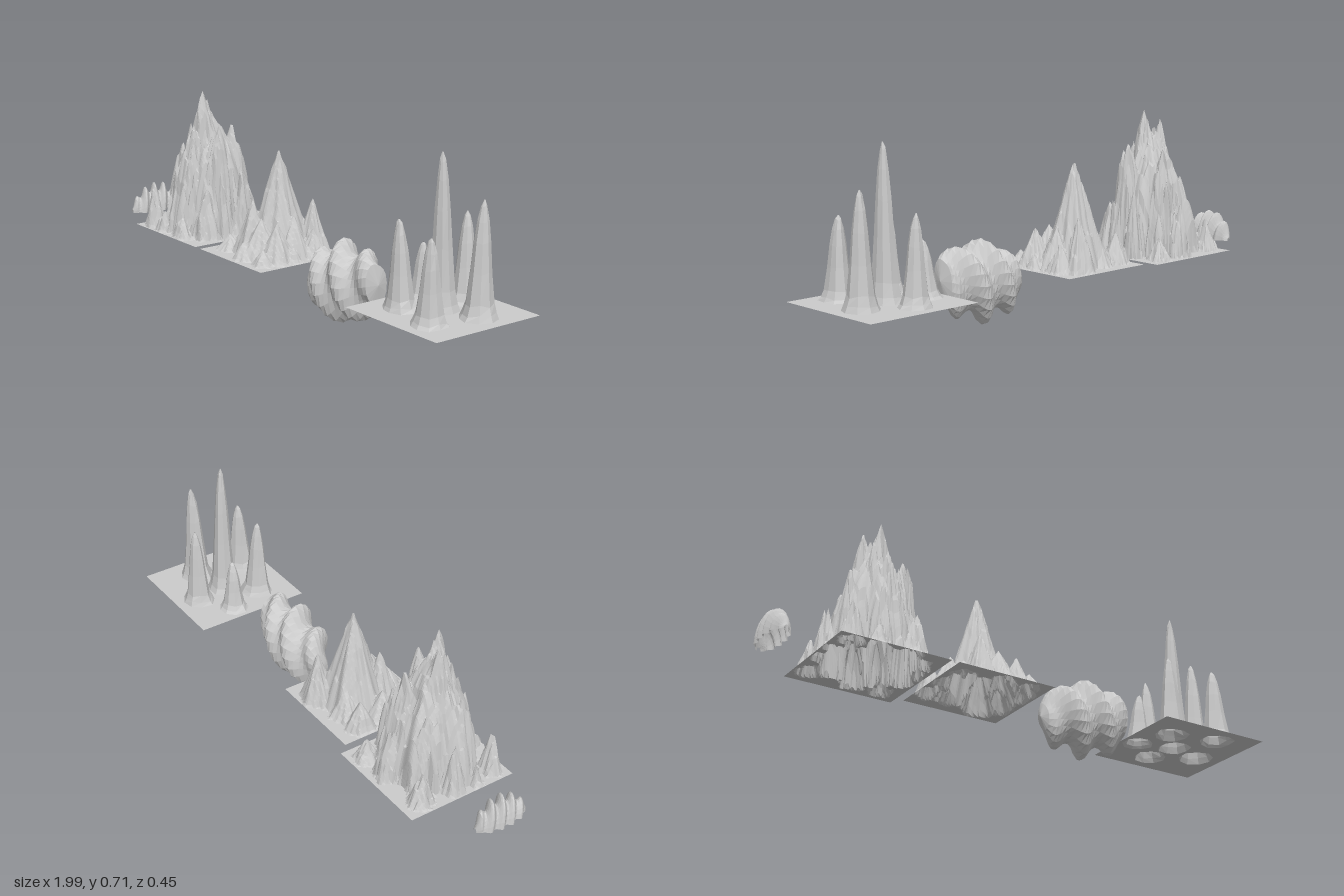
import * as THREE from 'three';
import { ParametricGeometry } from 'three/addons/geometries/ParametricGeometry.js';

const GROUND = 0.16;
const rock = new THREE.MeshStandardMaterial({ color: 0xcccccc, flatShading: true, side: THREE.DoubleSide });

// Repeatable pseudo-random value in 0..1
const hash = (a, b = 0) => {
  const s = Math.sin(a * 127.1 + b * 311.7 + 5.3) * 43758.5453;
  return s - Math.floor(s);
};

// Linear interpolation through [position, value...] rows
function sample(rows, t, column) {
  for (let i = 1; i < rows.length; i++) {
    const a = rows[i - 1], b = rows[i];
    if (t <= b[0]) return THREE.MathUtils.lerp(a[column], b[column], Math.max(0, (t - a[0]) / (b[0] - a[0])));
  }
  return rows[rows.length - 1][column];
}

function surface(name, fn, slices, stacks) {
  const mesh = new THREE.Mesh(new ParametricGeometry(fn, slices, stacks), rock);
  mesh.name = name;
  return mesh;
}

// Ground sheet pulled up into fluted spires: [x, z, top, radius, sharpness]
// blocky shifts the rock in square cells for a stepped, broken face
function spireField(name, [x0, x1, z0, z1], spires, cells, blocky) {
  return surface(name, (u, v, target) => {
    const x = x0 + u * (x1 - x0), z = z0 + v * (z1 - z0);
    const cx = Math.floor(x / 0.026), cz = Math.floor(z / 0.026);
    const wx = x + blocky * (hash(cx, cz) - 0.5), wz = z + blocky * (hash(cz, cx + 40) - 0.5);
    let h = 0;
    spires.forEach(([sx, sz, top, radius, power], i) => {
      const dx = wx - sx, dz = wz - sz, a = Math.atan2(dz, dx);
      const flute = 1 + 0.08 * Math.sin(5 * a + i * 2.1) + 0.05 * Math.sin(11 * a + i);
      const t = Math.hypot(dx, dz) / (radius * flute);
      if (t < 1) h = Math.max(h, (top - GROUND) * Math.pow(1 - t, power));
    });
    const edge = Math.min(x - x0, x1 - x, z - z0, z1 - z);
    target.set(x, GROUND + h * Math.min(1, edge / 0.02), z);
  }, cells, cells);
}

// Separate stone pillars standing over holes in a flat sheet
function pillarGroup() {
  const group = new THREE.Group();
  group.name = 'pillarCluster';
  const sides = 9;
  const profile = [[0, 1], [0.05, 0.86], [0.13, 0.72], [0.4, 0.55], [0.65, 0.43], [0.83, 0.3], [0.95, 0.16], [1, 0.03]];
  const pillars = [
    [0.755, -0.01, 0.70, 0.066], [0.89, -0.05, 0.56, 0.074], [0.665, 0.09, 0.47, 0.068],
    [0.85, 0.13, 0.45, 0.068], [0.615, -0.05, 0.36, 0.062], [0.735, -0.135, 0.475, 0.066],
  ];
  const sheet = new THREE.Shape([[0.54, -0.225], [0.995, -0.225], [0.995, 0.23], [0.54, 0.23]]
    .map(([x, y]) => new THREE.Vector2(x, y)));
  pillars.forEach(([px, pz, top, radius], i) => {
    const spot = (k, row) => {
      const a = (k / sides) * Math.PI * 2;
      const reach = radius * profile[row][1] * (0.86 + 0.18 * hash(k % sides, i));
      const lean = row * 0.0012;
      return [px + Math.cos(a) * reach + lean * Math.sin(i * 2), pz + Math.sin(a) * reach + lean * Math.cos(i * 3)];
    };
    const rows = profile.length - 1;
    group.add(surface('pillar', (u, v, target) => {
      const row = Math.round(v * rows), k = Math.round(u * sides) % sides;
      const [x, z] = spot(k, row);
      const chip = row > 0 && row < rows ? 0.03 * (hash(k, row + i) - 0.5) : 0;
      target.set(x, GROUND + (profile[row][0] + chip) * (top - GROUND), z);
    }, sides, rows));
    const rim = [];
    for (let k = 0; k < sides; k++) {
      const [x, z] = spot(k, 0);
      rim.push(new THREE.Vector2(x, -z));
    }
    sheet.holes.push(new THREE.Path(rim));
  });
  const floor = new THREE.Mesh(new THREE.ShapeGeometry(sheet).rotateX(-Math.PI / 2), rock);
  floor.position.y = GROUND;
  floor.name = 'pillarGround';
  group.add(floor);
  return group;
}

// Closed boulder wrapped by a two-start spiral ridge along x
function twistedBoulder() {
  // x, half height, half depth, centre height
  const rows = [
    [0.112, 0, 0, 0.13], [0.118, 0.045, 0.025, 0.13], [0.145, 0.085, 0.05, 0.135], [0.2, 0.11, 0.078, 0.145],
    [0.29, 0.13, 0.092, 0.157], [0.38, 0.117, 0.078, 0.163], [0.44, 0.1, 0.058, 0.175],
    [0.47, 0.088, 0.04, 0.185], [0.48, 0.05, 0.02, 0.185], [0.483, 0, 0, 0.185],
  ];
  return surface('twistedBoulder', (u, v, target) => {
    const x = 0.112 + v * 0.371, a = u * Math.PI * 2;
    const wave = Math.cos(((x - 0.165) / 0.125) * Math.PI * 2 - 2 * a);
    const ridge = 1 + 0.21 * wave;
    target.set(x,
      sample(rows, x, 3) + Math.cos(a) * sample(rows, x, 1) * ridge,
      0.034 + Math.sin(a) * sample(rows, x, 2) * ridge);
  }, 20, 27);
}

// Small open-bottomed ribbed shell running along z
function ribbedShell() {
  // z, half width, height
  const rows = [[-0.07, 0.006, 0.015], [-0.055, 0.024, 0.06], [-0.01, 0.037, 0.09], [0.04, 0.04, 0.094],
    [0.09, 0.035, 0.078], [0.125, 0.022, 0.045], [0.14, 0.006, 0.015]];
  return surface('ribbedShell', (u, v, target) => {
    const z = -0.07 + v * 0.21, a = u * Math.PI;
    const ridge = 1 + 0.2 * Math.cos(((z - 0.035) / 0.043) * Math.PI * 2 + 2 * (a - Math.PI / 2));
    target.set(-0.95 + Math.cos(a) * sample(rows, z, 1) * ridge,
      GROUND + Math.sin(a) * sample(rows, z, 2) * ridge, z);
  }, 12, 40);
}

export function createModel() {
  const model = new THREE.Group();
  model.name = 'rockFormations';
  model.add(ribbedShell());

  // Tall massif of steep columns ringed by lower spires
  model.add(spireField('tallMountain', [-0.79, -0.37, -0.21, 0.22], [
    [-0.575, 0.02, 0.65, 0.165, 0.6], [-0.57, 0.04, 0.72, 0.085, 0.5], [-0.61, 0.01, 0.68, 0.075, 0.5],
    [-0.475, 0.04, 0.59, 0.06, 0.4], [-0.54, -0.07, 0.575, 0.07, 0.5], [-0.56, 0.1, 0.585, 0.065, 0.5],
    [-0.6, 0.14, 0.43, 0.055, 0.7], [-0.685, 0.06, 0.5, 0.06, 0.7], [-0.66, -0.06, 0.46, 0.07, 0.7],
    [-0.425, -0.04, 0.43, 0.042, 0.8], [-0.455, 0.11, 0.36, 0.06, 0.8], [-0.56, -0.14, 0.37, 0.05, 0.8],
    [-0.725, 0.17, 0.32, 0.045, 1], [-0.74, 0.0, 0.35, 0.045, 1], [-0.73, -0.13, 0.29, 0.05, 1],
    [-0.63, 0.185, 0.25, 0.04, 1], [-0.51, 0.18, 0.25, 0.045, 1], [-0.44, -0.15, 0.25, 0.045, 1],
    [-0.765, 0.08, 0.25, 0.03, 1], [-0.39, 0.02, 0.23, 0.03, 1],
  ], 64, 0.016));

  // Lower peak with scattered foothills
  model.add(spireField('lowMountain', [-0.34, 0.05, -0.17, 0.22], [
    [-0.14, 0.0, 0.56, 0.118, 1.0], [-0.18, 0.09, 0.37, 0.07, 1], [-0.065, -0.1, 0.37, 0.065, 1],
    [-0.11, 0.1, 0.31, 0.08, 0.9], [-0.29, -0.07, 0.28, 0.055, 0.9], [-0.27, 0.04, 0.27, 0.065, 1],
    [-0.03, 0.09, 0.31, 0.07, 1], [-0.05, 0.0, 0.32, 0.07, 0.9], [-0.01, -0.06, 0.27, 0.055, 1],
    [0.015, 0.05, 0.22, 0.035, 1], [-0.2, -0.07, 0.27, 0.06, 1], [-0.27, 0.13, 0.22, 0.05, 1],
    [-0.13, 0.165, 0.23, 0.045, 1], [-0.02, 0.16, 0.22, 0.04, 1],
  ], 56, 0.004));

  model.add(twistedBoulder());
  model.add(pillarGroup());
  return model;
}
